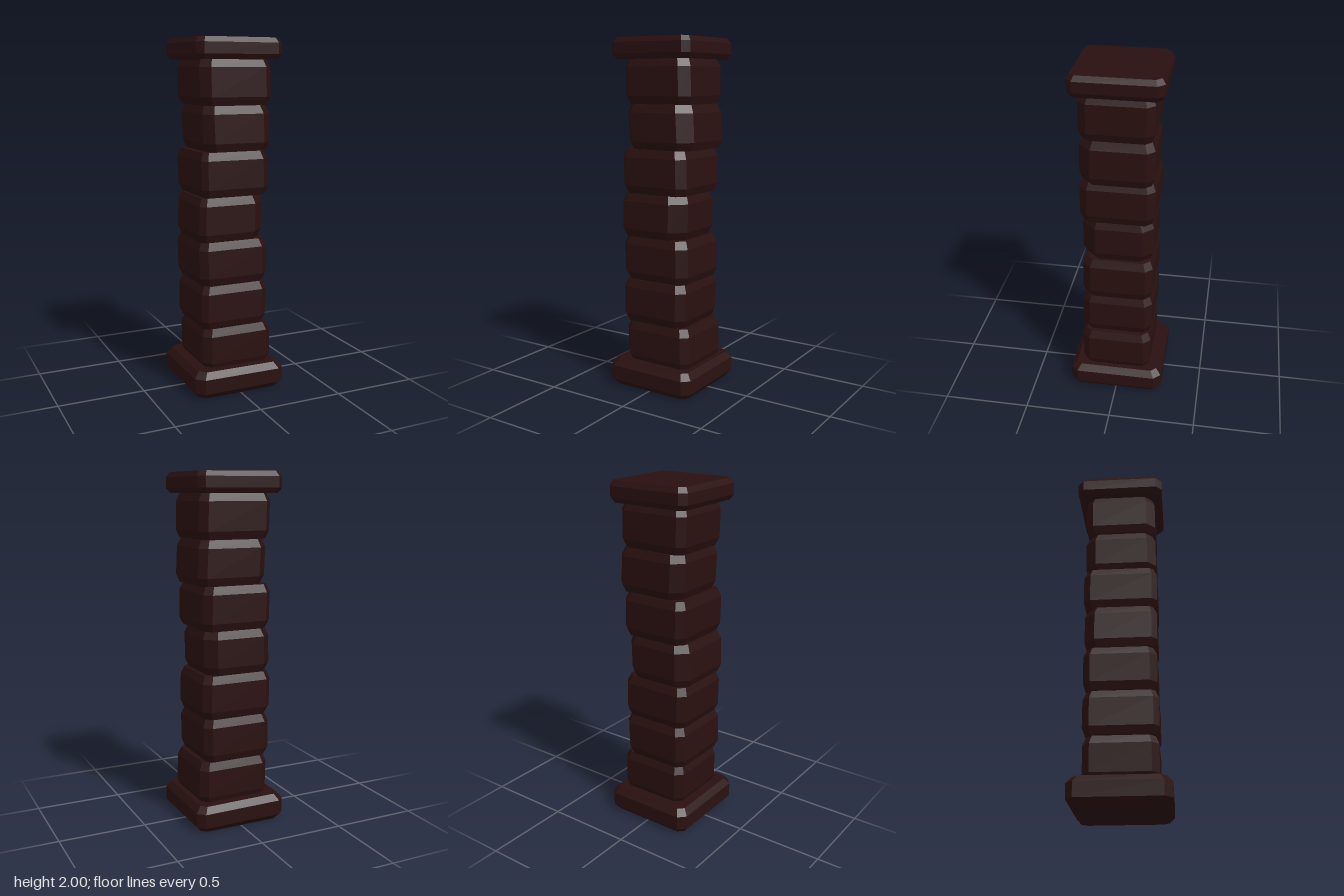
import * as THREE from 'three';

const stone = new THREE.MeshStandardMaterial({ color: 0x2a1010 });
stone.name = 'darkStone';

// Block with cut corners and bevelled rims, made from four stacked octagons.
// cuts: corner cut sizes in the order (+x+z), (+x-z), (-x-z), (-x+z).
// lean: sideways shift of the top in x; tilt: rise of the top per unit of x.
function makeBlock({ name, x, y, z, cuts, bevel, inset, lean = 0, tilt = 0 }) {
  const [x0, x1] = x, [y0, y1] = y, [z0, z1] = z;
  const levels = [[y0, inset], [y0 + bevel, 0], [y1 - bevel, 0], [y1, inset]];
  const rings = levels.map(([h, d]) => {
    const a = x0 + d, b = x1 - d, c = z0 + d, e = z1 - d;
    const k = cuts.map((v) => v - d * 0.3);
    const t = (h - y0) / (y1 - y0);
    return [
      [b - k[0], e], [b, e - k[0]],
      [b, c + k[1]], [b - k[1], c],
      [a + k[2], c], [a, c + k[2]],
      [a, e - k[3]], [a + k[3], e],
    ].map(([px, pz]) => [px + lean * (t - 0.5), h + tilt * px * t, pz]);
  });

  const points = [];
  const tri = (a, b, c) => points.push(...a, ...b, ...c);
  for (let r = 0; r < 3; r++) {
    for (let i = 0; i < 8; i++) {
      const j = (i + 1) % 8;
      tri(rings[r][i], rings[r][j], rings[r + 1][j]);
      tri(rings[r][i], rings[r + 1][j], rings[r + 1][i]);
    }
  }
  for (let i = 1; i < 7; i++) {
    tri(rings[3][0], rings[3][i], rings[3][i + 1]);
    tri(rings[0][0], rings[0][i + 1], rings[0][i]);
  }

  // Unshared corners give flat facets
  const geometry = new THREE.BufferGeometry();
  geometry.setAttribute('position', new THREE.Float32BufferAttribute(points, 3));
  geometry.computeVertexNormals();
  const mesh = new THREE.Mesh(geometry, stone);
  mesh.name = name;
  return mesh;
}

export function createModel() {
  const group = new THREE.Group();
  group.name = 'stonePillar';

  // Wide foot slab
  group.add(makeBlock({
    name: 'base', x: [-0.275, 0.272], y: [0.003, 0.155], z: [-0.272, 0.275],
    cuts: [0.04, 0.04, 0.04, 0.045], bevel: 0.035, inset: 0.03, tilt: -0.01,
  }));

  // Shaft stones from bottom to top, each slightly out of line
  const stones = [
    { x: [-0.2, 0.222], z: [-0.2, 0.207], cuts: [0.04, 0.04, 0.04, 0.04], lean: -0.005 },
    { x: [-0.212, 0.196], z: [-0.203, 0.21], cuts: [0.045, 0.04, 0.04, 0.03], lean: 0.005 },
    { x: [-0.219, 0.202], z: [-0.202, 0.205], cuts: [0.05, 0.04, 0.04, 0.04], lean: -0.005 },
    { x: [-0.223, 0.184], z: [-0.2, 0.208], cuts: [0.08, 0.06, 0.06, 0.03], lean: 0.006 },
    { x: [-0.211, 0.199], z: [-0.208, 0.212], cuts: [0.045, 0.04, 0.04, 0.03], lean: -0.006 },
    { x: [-0.191, 0.226], z: [-0.204, 0.208], cuts: [0.07, 0.04, 0.06, 0.05], lean: -0.012 },
    { x: [-0.21, 0.218], z: [-0.2, 0.208], cuts: [0.05, 0.04, 0.04, 0.05], lean: -0.006 },
  ];
  stones.forEach((s, i) => {
    const bottom = i === 0 ? 0.14 : 0.136 + i * 0.25;
    group.add(makeBlock({
      ...s, name: `shaftStone${i + 1}`, y: [bottom, 0.385 + i * 0.25],
      bevel: 0.045, inset: 0.018,
    }));
  });

  // Capital slab
  group.add(makeBlock({
    name: 'capital', x: [-0.255, 0.252], y: [1.882, 1.999], z: [-0.25, 0.253],
    cuts: [0.035, 0.035, 0.035, 0.035], bevel: 0.028, inset: 0.018, tilt: -0.005,
  }));

  return group;
}
